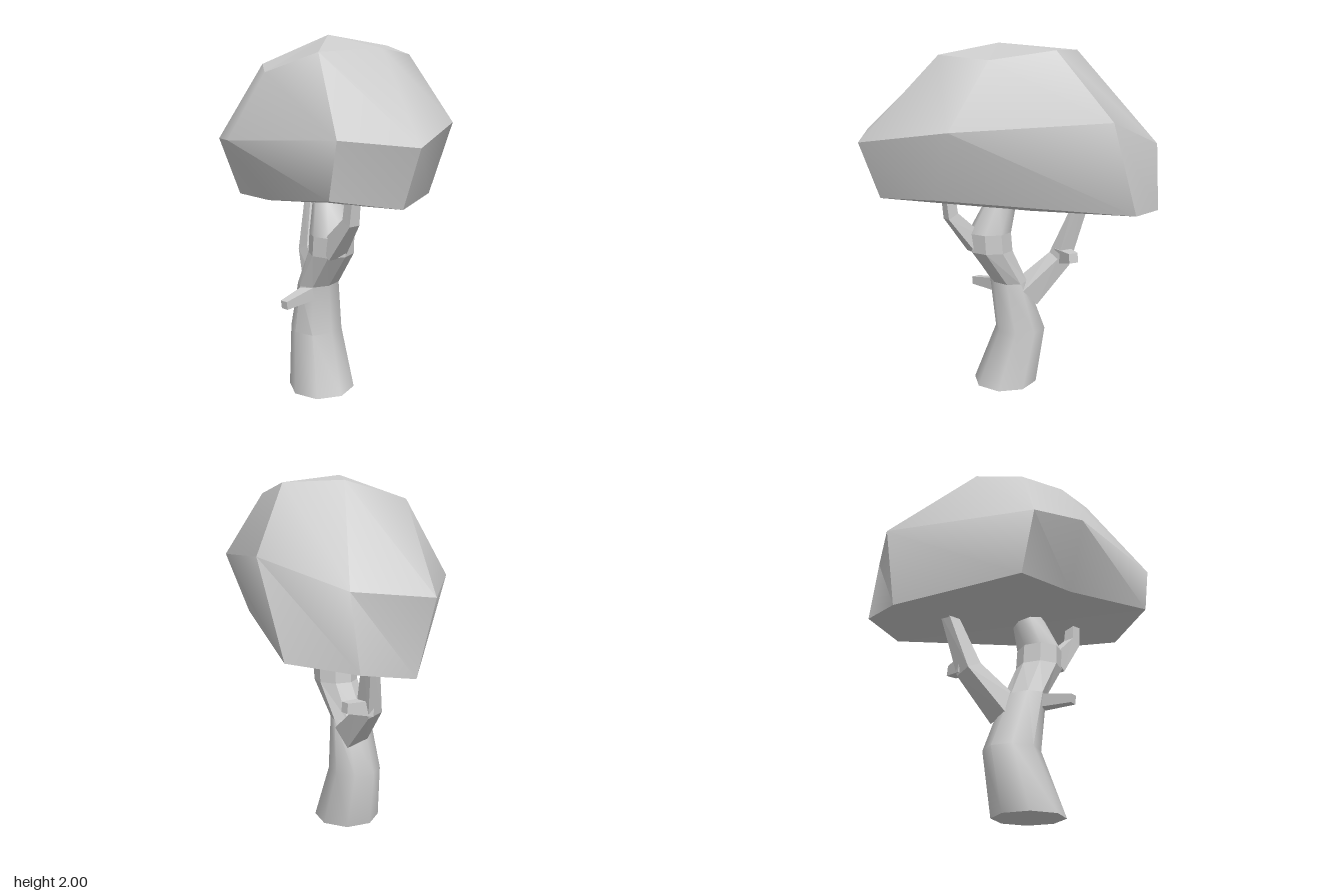
import * as THREE from 'three';
import { toCreasedNormals } from 'three/addons/utils/BufferGeometryUtils.js';

const grey = new THREE.MeshStandardMaterial({ color: 0xcccccc });
grey.name = 'light grey';

// Skin over a stack of equal-length rings; optional fan points close the ends.
function loft(rings, { bottom, top, crease = 0 } = {}) {
  const pos = [];
  const tri = (...pts) => pts.forEach((p) => pos.push(...p));
  const n = rings[0].length;
  for (let i = 0; i < n; i++) {
    const j = (i + 1) % n;
    for (let k = 0; k + 1 < rings.length; k++) {
      const l = rings[k], u = rings[k + 1];
      tri(l[i], u[i], u[j]);
      tri(l[i], u[j], l[j]);
    }
    const last = rings[rings.length - 1];
    if (bottom) tri(bottom, rings[0][i], rings[0][j]);
    if (top) tri(top, last[j], last[i]);
  }
  const g = new THREE.BufferGeometry();
  g.setAttribute('position', new THREE.Float32BufferAttribute(pos, 3));
  g.computeVertexNormals();
  return crease ? toCreasedNormals(g, crease) : g;
}

// Horizontal octagon with its flats facing the axes' diagonals
const octagon = (x, y, z, r, rz = r) => Array.from({ length: 8 }, (_, i) => {
  const a = (i * Math.PI) / 4;
  return [x + r * Math.cos(a), y, z + rz * Math.sin(a)];
});

// Square-section limb through points [x, y, z, halfWidth]
function limb(path) {
  const pts = path.map((p) => new THREE.Vector3(p[0], p[1], p[2]));
  const rings = pts.map((p, k) => {
    const t = pts[Math.min(k + 1, pts.length - 1)].clone()
      .sub(pts[Math.max(k - 1, 0)]).normalize();
    const e1 = Math.abs(t.x) > 0.7 ? new THREE.Vector3(0, 0, 1) : new THREE.Vector3(1, 0, 0);
    e1.addScaledVector(t, -e1.dot(t)).normalize();
    const e2 = e1.clone().cross(t);
    const h = path[k][3];
    return [[1, -1], [1, 1], [-1, 1], [-1, -1]].map(([a, b]) =>
      p.clone().addScaledVector(e1, a * h).addScaledVector(e2, b * h).toArray());
  });
  return loft(rings, { bottom: path[0].slice(0, 3), top: path[path.length - 1].slice(0, 3) });
}

export function createModel() {
  const tree = new THREE.Group();
  tree.name = 'tree';
  const add = (name, geometry, parent = tree) => {
    const mesh = new THREE.Mesh(geometry, grey);
    mesh.name = name;
    parent.add(mesh);
  };

  // Trunk: smooth foot, faceted bend, smooth neck running into the crown
  const trunk = new THREE.Group();
  trunk.name = 'trunk';
  tree.add(trunk);
  const fork = octagon(-0.13, 0.63, -0.045, 0.13, 0.1);
  const neck = octagon(-0.13, 0.94, 0.083, 0.125);
  add('lowerTrunk', loft([
    octagon(-0.13, 0, -0.02, 0.19),
    octagon(-0.1, 0.33, -0.11, 0.15),
    fork,
  ], { crease: 0.9 }), trunk);
  add('trunkBase', loft([octagon(-0.13, 0, -0.02, 0.19)], { bottom: [-0.13, 0, -0.02] }), trunk);
  add('trunkBend', loft([fork, octagon(-0.13, 0.83, 0.075, 0.127), neck]), trunk);
  add('upperTrunk', loft([neck, octagon(-0.1, 1.13, 0.02, 0.09)],
    { top: [-0.1, 1.13, 0.02], crease: 0.9 }), trunk);

  // Branches and twigs
  add('rearBranch', limb([
    [-0.06, 0.55, -0.12, 0.07],
    [0.01, 0.75, -0.32, 0.05],
    [0.1, 1.1, -0.41, 0.03],
  ]));
  add('rearTwig', limb([[0.02, 0.77, -0.33, 0.045], [0.175, 0.79, -0.295, 0.028]]));
  add('frontBranch', limb([
    [-0.17, 0.86, 0.14, 0.055],
    [-0.18, 1.05, 0.31, 0.033],
    [-0.18, 1.21, 0.33, 0.028],
  ]));
  add('sideTwig', limb([[-0.18, 0.595, -0.02, 0.04], [-0.41, 0.568, 0.02, 0.023]]));

  // Crown: three irregular rings, smooth round the side with faceted caps
  const rim = [
    [0.14, 1.02, -0.74], [0.46, 1.08, -0.67], [0.63, 1.11, -0.34], [0.12, 1.21, 0.57],
    [-0.2, 1.19, 0.72], [-0.53, 1.25, 0.58], [-0.46, 1.15, -0.03], [-0.43, 1.13, -0.38],
  ];
  const waist = [
    [0.12, 1.42, -0.83], [0.48, 1.46, -0.62], [0.64, 1.6, -0.16], [0.28, 1.56, 0.57],
    [-0.2, 1.49, 0.83], [-0.53, 1.53, 0.64], [-0.64, 1.47, -0.13], [-0.54, 1.45, -0.4],
  ];
  const brow = [
    [-0.13, 1.87, -0.43], [0.18, 1.96, -0.29], [0.35, 1.95, -0.02], [0.22, 1.9, 0.3],
    [-0.08, 1.93, 0.42], [-0.36, 1.91, 0.28], [-0.45, 1.81, -0.06], [-0.33, 1.85, -0.27],
  ];
  const crown = new THREE.Group();
  crown.name = 'crown';
  tree.add(crown);
  add('crownSide', loft([rim, waist, brow], { crease: 0.8 }), crown);
  add('crownTop', loft([brow], { top: [-0.11, 2, 0.03] }), crown);
  add('crownUnderside', loft([rim], { bottom: [0, 1.06, -0.12] }), crown);
  return tree;
}
